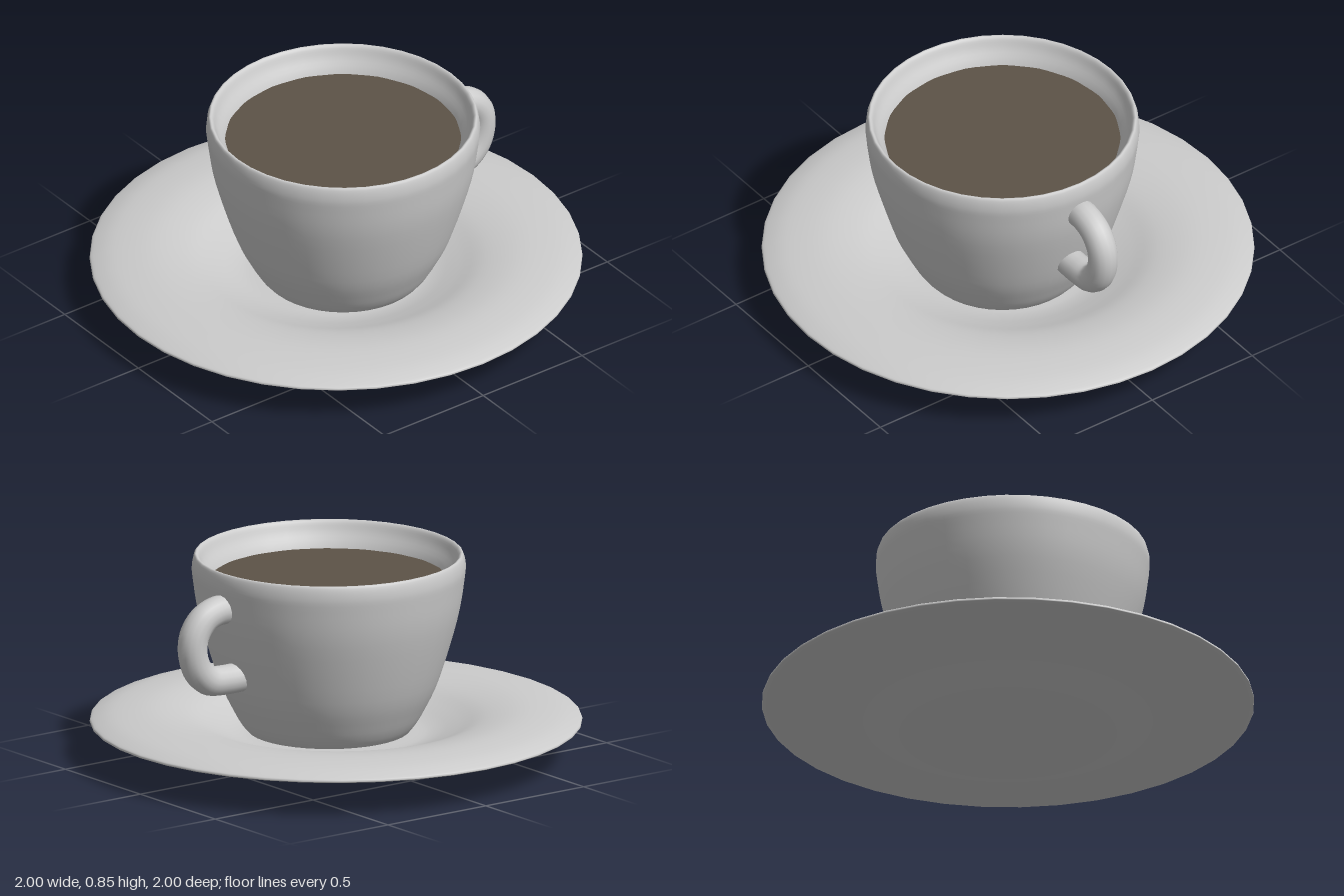
import * as THREE from 'three';

const v2 = ([x, y]) => new THREE.Vector2(x, y);

function part(name, geometry, color = 0xcccccc) {
  const mesh = new THREE.Mesh(geometry, new THREE.MeshStandardMaterial({ color, side: THREE.DoubleSide }));
  mesh.name = name;
  return mesh;
}

// smooth curve through [radius, height] points, spun around y
function spun(points, steps, segments) {
  const curve = new THREE.SplineCurve(points.map(v2));
  const profile = curve.getPoints(steps);
  profile.forEach(p => { p.x = Math.max(p.x, 0); p.y = Math.max(p.y, 0); });
  return new THREE.LatheGeometry(profile, segments);
}

export function createModel() {
  const model = new THREE.Group();
  model.name = 'cupAndSaucer';

  // saucer: underside from the middle out, round the rim, back into the well
  model.add(part('saucer', spun([
    [0, 0], [0.22, 0.002], [0.38, 0.008], [0.46, 0.022], [0.6, 0.075], [0.8, 0.105], [0.93, 0.133], [0.99, 0.147],
    [1, 0.155], [0.985, 0.167], [0.9, 0.19], [0.75, 0.2], [0.61, 0.18], [0.5, 0.14], [0.4, 0.108], [0.3, 0.1], [0, 0.1],
  ], 64, 40)));

  // cup group sits slightly off the saucer's middle
  const cup = new THREE.Group();
  cup.name = 'cup';
  cup.position.set(0.01, 0, 0.035);
  model.add(cup);

  // outer wall, rounded lip and thicker inner wall
  cup.add(part('cupBody', spun([
    [0.33, 0.11], [0.355, 0.14], [0.39, 0.2], [0.45, 0.33], [0.525, 0.58], [0.552, 0.74], [0.556, 0.8],
    [0.546, 0.843], [0.53, 0.84], [0.512, 0.8], [0.475, 0.73], [0.445, 0.6], [0.4, 0.4], [0.32, 0.22], [0.2, 0.17], [0, 0.16],
  ], 60, 40)));

  const base = part('cupBase', new THREE.CircleGeometry(0.33, 40).rotateX(Math.PI / 2));
  base.position.y = 0.11;
  cup.add(base);

  // drink surface, coarser than the wall so its edge is scalloped
  const drink = part('drink', new THREE.CircleGeometry(0.482, 20).rotateX(-Math.PI / 2), 0x5d5347);
  drink.position.y = 0.74;
  cup.add(drink);

  // handle: a bent tube with its ends buried in the wall
  const path = new THREE.CatmullRomCurve3([
    [0.51, 0.695], [0.58, 0.693], [0.645, 0.665], [0.688, 0.605], [0.695, 0.535],
    [0.67, 0.46], [0.615, 0.41], [0.54, 0.4], [0.44, 0.4],
  ].map(([x, y]) => new THREE.Vector3(x, y, 0)));
  cup.add(part('handle', new THREE.TubeGeometry(path, 40, 0.061, 16)));

  return model;
}
